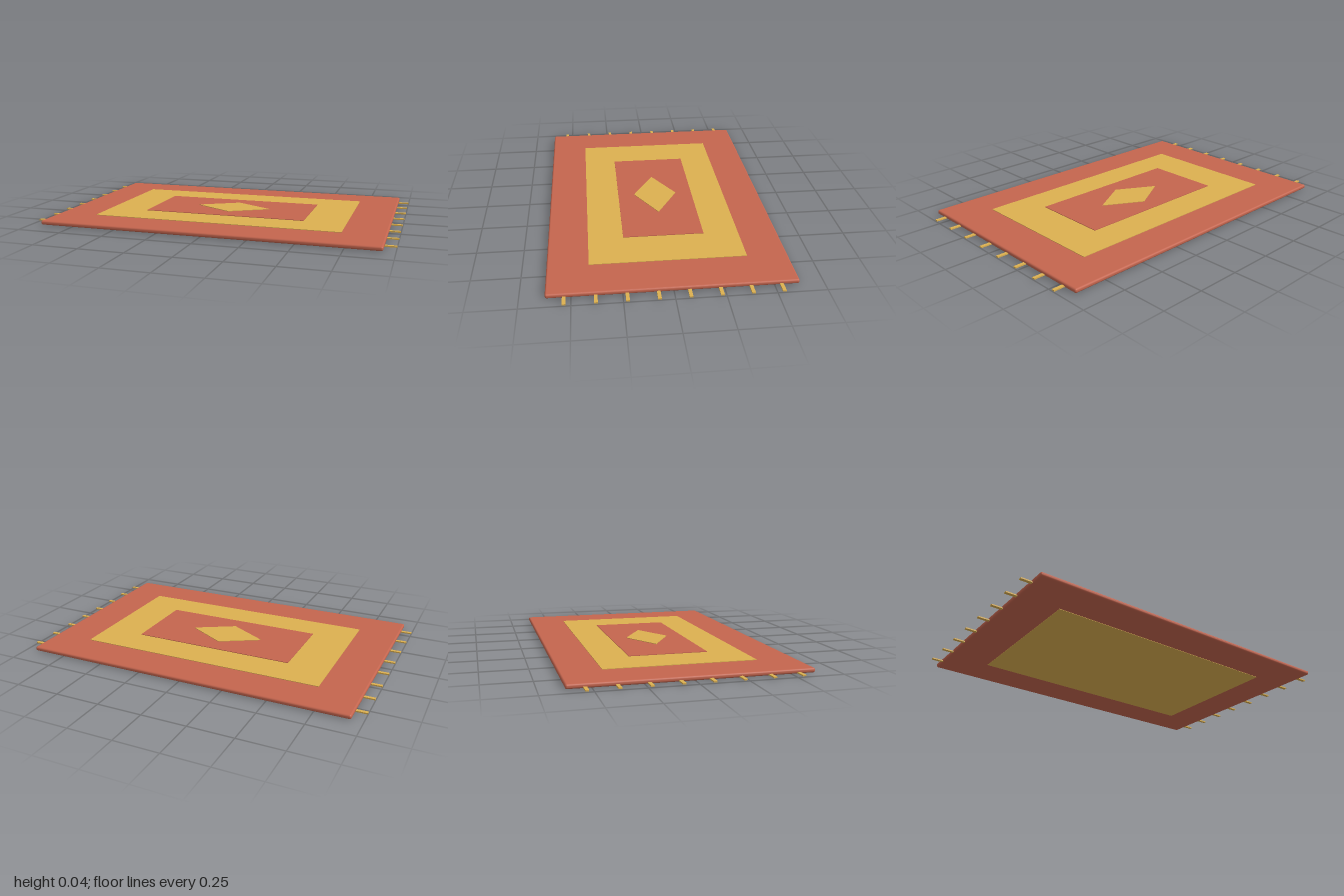
import * as THREE from 'three';
import { RoundedBoxGeometry } from 'three/addons/geometries/RoundedBoxGeometry.js';

const red = new THREE.MeshStandardMaterial({ color: 0xc4654e });
const gold = new THREE.MeshStandardMaterial({ color: 0xdcb050 });

export function createModel() {
  const rug = new THREE.Group();
  rug.name = 'rug';

  const add = (name, geometry, material, x, y, z) => {
    const mesh = new THREE.Mesh(geometry, material);
    mesh.name = name;
    mesh.position.set(x, y, z);
    rug.add(mesh);
  };
  // Flat slab between two heights
  const slab = (name, w, d, y0, y1, material) =>
    add(name, new THREE.BoxGeometry(w, y1 - y0, d), material, 0, (y0 + y1) / 2, 0);

  // Woven body with softened edges
  add('rugBody', new RoundedBoxGeometry(1.88, 0.024, 1.25, 3, 0.01), red, 0, 0.014, 0);

  // Stepped panels; the gold one shows through on the underside
  slab('goldPanel', 1.416, 0.82, 0, 0.029, gold);
  slab('centrePanel', 0.94, 0.44, 0.006, 0.032, red);

  // Diamond medallion
  const diamond = new THREE.Shape([
    new THREE.Vector2(0.22, 0), new THREE.Vector2(0, 0.125),
    new THREE.Vector2(-0.22, 0), new THREE.Vector2(0, -0.125),
  ]);
  const medallion = new THREE.ExtrudeGeometry(diamond, { depth: 0.015, bevelEnabled: false });
  medallion.rotateX(-Math.PI / 2);
  add('diamondMedallion', medallion, gold, 0, 0.02, 0);

  // Fringe tassels along both short ends
  const tassel = new THREE.BoxGeometry(0.08, 0.007, 0.018);
  for (const side of [-1, 1]) {
    for (let i = 0; i < 8; i++) {
      add('tassel', tassel, gold, side * 0.96, 0.008, (i - 3.5) * 0.1525);
    }
  }
  return rug;
}
